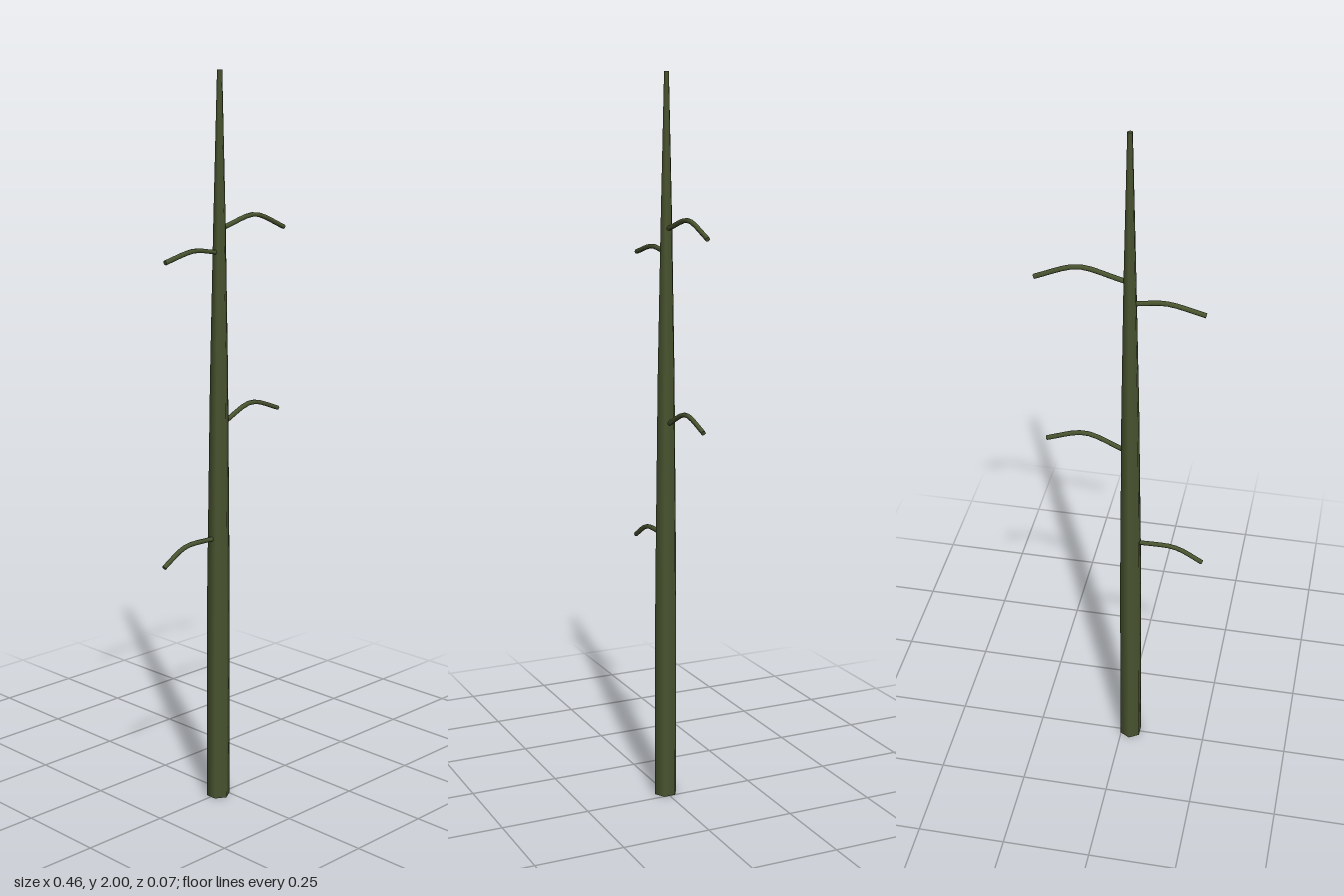
import * as THREE from 'three';

const bark = new THREE.MeshStandardMaterial({ color: 0x4a5530 });
bark.name = 'mossy bark';

// Trunk stations: height, radius, centre x
const STATIONS = [
  [0, 0.033, -0.027], [0.6, 0.032, -0.025], [1.2, 0.025, -0.022],
  [1.6, 0.017, -0.02], [2, 0.007, -0.019],
];

function trunkAt(y) {
  let i = 0;
  while (i < STATIONS.length - 2 && y > STATIONS[i + 1][0]) i++;
  const [a, b] = [STATIONS[i], STATIONS[i + 1]];
  const t = (y - a[0]) / (b[0] - a[0]);
  return { radius: a[1] + (b[1] - a[1]) * t, x: a[2] + (b[2] - a[2]) * t };
}

// Six-sided tapering, slightly leaning trunk
function makeTrunk() {
  const geo = new THREE.CylinderGeometry(1, 1, 2, 6, 10).translate(0, 1, 0);
  const p = geo.attributes.position;
  for (let i = 0; i < p.count; i++) {
    const s = trunkAt(p.getY(i));
    p.setX(i, p.getX(i) * s.radius + s.x);
    p.setZ(i, p.getZ(i) * s.radius);
  }
  const mesh = new THREE.Mesh(geo, bark);
  mesh.name = 'trunk';
  return mesh;
}

// Thin bent branch with a flat cut end
function makeBranch(name, points) {
  const sides = 6, steps = 10;
  const curve = new THREE.CatmullRomCurve3(points.map(([x, y]) => new THREE.Vector3(x, y, 0)));
  const geo = new THREE.TubeGeometry(curve, steps, 0.0065, sides);
  const tube = new THREE.Mesh(geo, bark);
  tube.name = name + 'Stem';

  const ring = [];
  for (let j = 0; j < sides; j++) {
    ring.push(new THREE.Vector3().fromBufferAttribute(geo.attributes.position, steps * (sides + 1) + j));
  }
  const fan = [];
  for (let j = 1; j < sides - 1; j++) fan.push(ring[0], ring[j + 1], ring[j]);
  const capGeo = new THREE.BufferGeometry().setFromPoints(fan);
  capGeo.computeVertexNormals();
  const cap = new THREE.Mesh(capGeo, bark);
  cap.name = name + 'CutEnd';

  const group = new THREE.Group();
  group.name = name;
  group.add(tube, cap);
  return group;
}

export function createModel() {
  const tree = new THREE.Group();
  tree.name = 'bareTree';
  tree.add(
    makeTrunk(),
    makeBranch('upperLeftBranch', [[-0.02, 1.592], [0.01, 1.6], [0.095, 1.623], [0.13, 1.621], [0.226, 1.583]]),
    makeBranch('upperRightBranch', [[-0.02, 1.532], [-0.04, 1.534], [-0.1, 1.542], [-0.13, 1.54], [-0.215, 1.519]]),
    makeBranch('middleLeftBranch', [[-0.02, 1.064], [0.005, 1.076], [0.085, 1.111], [0.12, 1.112], [0.207, 1.083]]),
    makeBranch('lowerRightBranch', [[-0.025, 0.755], [-0.05, 0.755], [-0.135, 0.755], [-0.165, 0.747], [-0.227, 0.711]]),
  );
  return tree;
}
